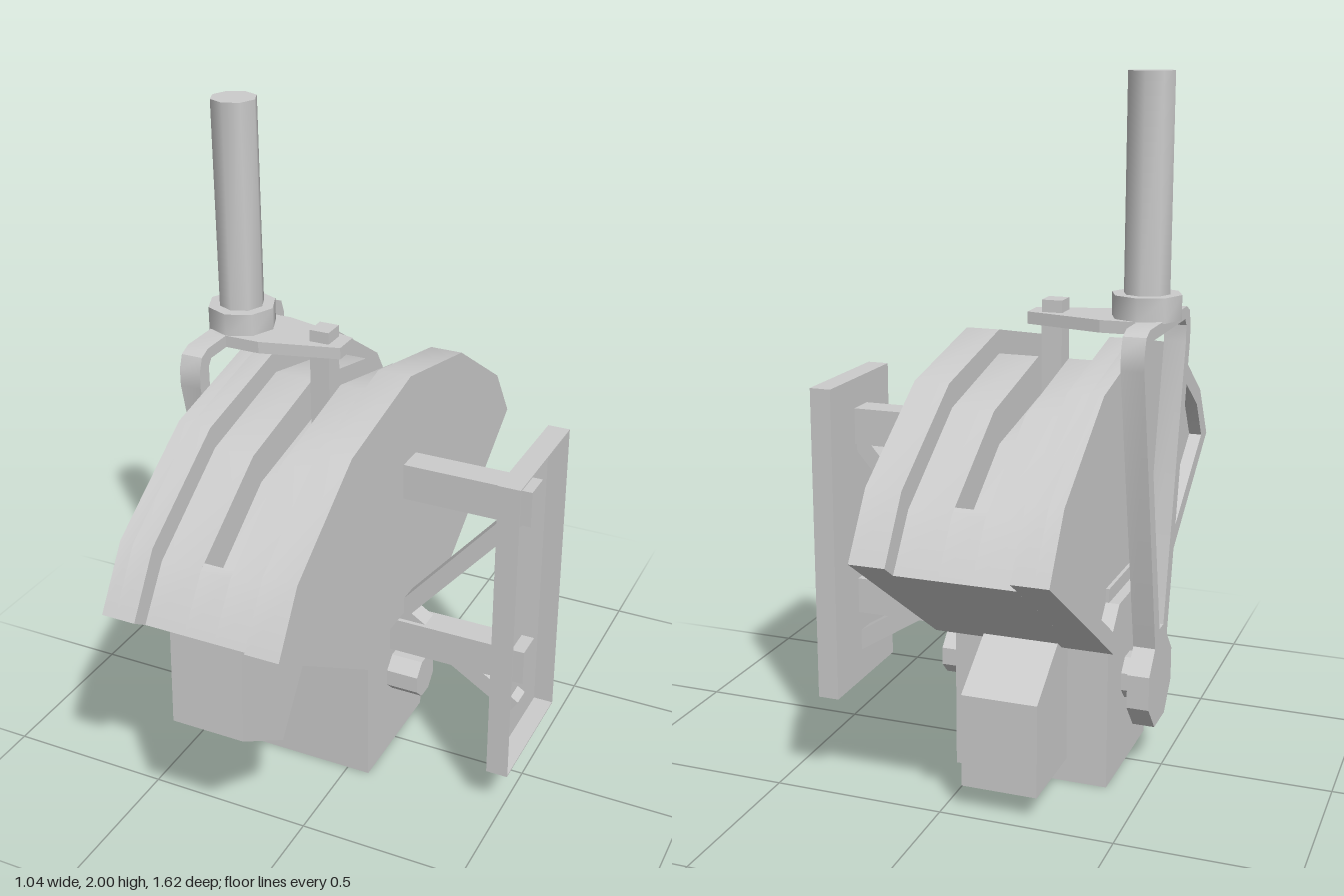
import * as THREE from 'three';
import { toCreasedNormals } from 'three/addons/utils/BufferGeometryUtils.js';

const material = new THREE.MeshStandardMaterial({ color: 0xcccccc, side: THREE.DoubleSide });

// Half outline (z >= 0) to a full symmetric outline
const mirror = (half) => [...half, ...half.slice().reverse().filter(([z]) => z > 0).map(([z, y]) => [-z, y])];

// Extrude a [z, y] outline between two x positions
function extrudeX(points, x0, x1, hole) {
  const toVec = ([z, y]) => new THREE.Vector2(-z, y);
  const shape = new THREE.Shape(points.map(toVec));
  if (hole) shape.holes.push(new THREE.Path(hole.map(toVec)));
  const g = new THREE.ExtrudeGeometry(shape, { depth: x1 - x0, bevelEnabled: false });
  g.rotateY(Math.PI / 2).translate(x0, 0, 0);
  return toCreasedNormals(g, 0.6);
}

// Box from its minimum and maximum corners
function box(x0, x1, y0, y1, z0, z1) {
  return new THREE.BoxGeometry(x1 - x0, y1 - y0, z1 - z0)
    .translate((x0 + x1) / 2, (y0 + y1) / 2, (z0 + z1) / 2);
}

// Slanted square bar in the xy plane
function bar(xa, ya, xb, yb, size, depth) {
  return new THREE.BoxGeometry(Math.hypot(xb - xa, yb - ya), size, depth)
    .rotateZ(Math.atan2(yb - ya, xb - xa)).translate((xa + xb) / 2, (ya + yb) / 2, 0);
}

export function createModel() {
  const model = new THREE.Group();
  const add = (name, geometry) => {
    const mesh = new THREE.Mesh(geometry, material);
    mesh.name = name;
    model.add(mesh);
    return mesh;
  };

  // Quadrant housing: two flanges around a slotted drum
  const base = [[0.25, 0.43], [0.2, 0.5]];
  const flange = mirror([[0, 1.27], [0.38, 1.19], [0.7, 0.98], [0.81, 0.81], ...base]);
  const drum = mirror([[0, 1.2], [0.36, 1.12], [0.66, 0.92], [0.76, 0.776], ...base]);
  const slot = mirror([[0, 1.08], [0.32, 1.02], [0.57, 0.85], [0.64, 0.933], [0.66, 0.92], [0.76, 0.776], ...base]);
  const recess = mirror([[0, 1.21], [0.36, 1.135], [0.66, 0.94], [0.735, 0.82], [0.26, 0.5], [0.2, 0.56]]);
  add('rightFlange', extrudeX(flange, -0.38, -0.32));
  add('rightFlangeRim', extrudeX(flange, -0.42, -0.38, recess));
  add('leftFlange', extrudeX(flange, 0.01, 0.11));
  add('drumRight', extrudeX(drum, -0.32, -0.2));
  add('drumSlot', extrudeX(slot, -0.2, -0.11));
  add('drumLeft', extrudeX(drum, -0.11, 0.01));

  // Pedestal and the blocks in front and behind
  add('pedestal', box(-0.39, 0.07, 0, 0.6, -0.2, 0.2));
  add('frontBlock', extrudeX([[0.72, 0.76], [0.735, 0.46], [0.515, 0.31], [0.35, 0.53]], -0.27, -0.05));
  add('rearBlock', extrudeX([[-0.18, 0.07], [-0.46, 0.07], [-0.46, 0.34], [-0.25, 0.48], [-0.18, 0.52]], -0.27, -0.05));

  // Pivot shaft
  add('pivotShaft', toCreasedNormals(
    new THREE.CylinderGeometry(0.068, 0.068, 0.62, 8).rotateY(Math.PI / 8)
      .rotateZ(Math.PI / 2).translate(-0.14, 0.27, 0), 0.5));

  // Swinging triangular frame with its hub
  const frameOutline = mirror([[0, 1.335], [0.2, 1.335], [0.235, 1.32], [0.25, 1.28], [0.25, 1.23],
    [0.065, 0.385], [0.125, 0.32], [0.125, 0.22], [0.055, 0.14]]);
  const frameHole = mirror([[0, 1.3], [0.185, 1.3], [0.2, 1.28], [0.2, 1.23], [0.022, 0.43]]);
  add('swingFrame', extrudeX(frameOutline, -0.49, -0.425, frameHole));

  // Top arm joining the frame to the lever
  const armShape = new THREE.Shape(
    [[-0.49, -0.06], [-0.46, -0.1], [-0.32, -0.1], [-0.09, -0.04],
      [-0.09, 0.04], [-0.32, 0.1], [-0.46, 0.1], [-0.49, 0.06]].map(([x, z]) => new THREE.Vector2(x, z)));
  add('topArm', new THREE.ExtrudeGeometry(armShape, { depth: 0.035, bevelEnabled: false })
    .rotateX(-Math.PI / 2).translate(0, 1.3, 0));
  add('slotLever', box(-0.19, -0.13, 1.0, 1.37, -0.033, 0.033));

  // Handle and collar
  const post = (r, y0, y1) => toCreasedNormals(
    new THREE.CylinderGeometry(r, r, y1 - y0, 8).translate(-0.425, (y0 + y1) / 2, 0), 0.9);
  add('collar', post(0.1, 1.33, 1.4));
  add('handle', post(0.066, 1.38, 2));

  // Mounting tray, open towards the outside
  add('trayBack', box(0.455, 0.461, 0.14, 1.1, -0.2, 0.2));
  for (const s of [-1, 1]) {
    add('traySide', box(0.455, 0.52, 0.14, 1.1, s * 0.198 - 0.002, s * 0.198 + 0.002));
    add('trayEnd', box(0.455, 0.52, 0.62 + s * 0.478 - 0.002, 0.62 + s * 0.478 + 0.002, -0.2, 0.2));
  }

  // Beams and diagonal braces to the tray
  add('upperBeam', box(0.05, 0.5, 0.9, 1.01, -0.043, 0.043));
  add('lowerBeam', box(0.03, 0.5, 0.365, 0.475, -0.043, 0.043));
  add('upperBrace', bar(0.06, 0.455, 0.47, 0.93, 0.05, 0.06));
  add('lowerBrace', bar(0.08, 0.505, 0.47, 0.26, 0.055, 0.06));

  return model;
}
